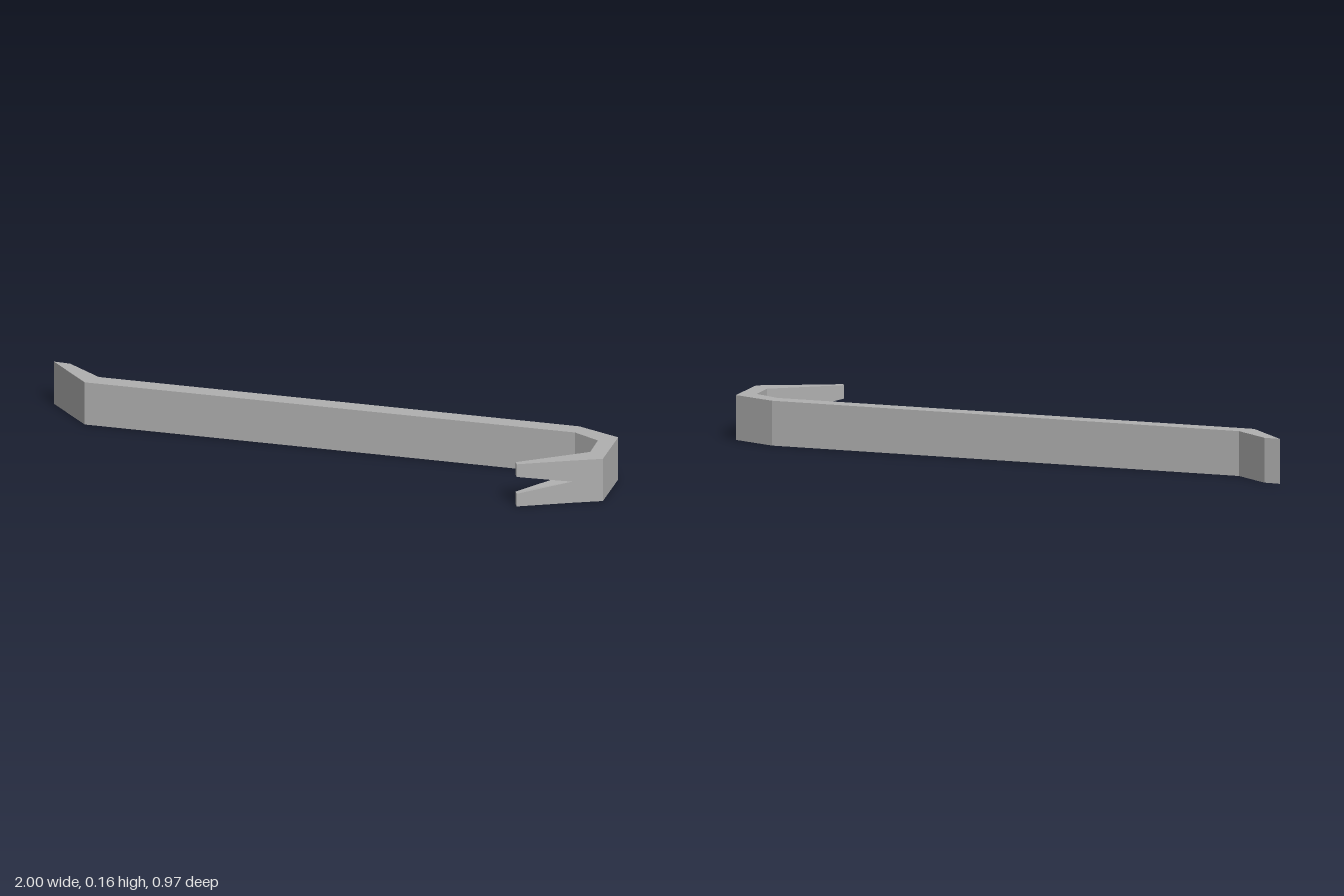
import * as THREE from 'three';

const H = 0.16;

// Each station: outer (x, z), inner (x, z), low y, high y at the outer and inner side
function loft(stations, capStart, capEnd) {
  const rings = stations.map(([ox, oz, ix, iz, low, high]) => [
    [ox, low, oz], [ox, high, oz], [ix, high, iz], [ix, low, iz],
  ]);
  const pos = [];
  const quad = (a, b, c, d) => pos.push(...a, ...b, ...c, ...a, ...c, ...d);
  for (let i = 0; i < rings.length - 1; i++) {
    for (let k = 0; k < 4; k++) {
      const n = (k + 1) % 4;
      quad(rings[i][k], rings[i][n], rings[i + 1][n], rings[i + 1][k]);
    }
  }
  if (capStart) quad(...[...rings[0]].reverse());
  if (capEnd) quad(...rings[rings.length - 1]);
  const geometry = new THREE.BufferGeometry();
  geometry.setAttribute('position', new THREE.Float32BufferAttribute(pos, 3));
  geometry.computeVertexNormals();
  return geometry;
}

export function createModel() {
  const group = new THREE.Group();
  group.name = 'pryBar';
  const steel = new THREE.MeshStandardMaterial({ color: 0xb0b0b0 });
  steel.name = 'grey steel';

  const add = (name, geometry) => {
    const mesh = new THREE.Mesh(geometry, steel);
    mesh.name = name;
    group.add(mesh);
  };

  // Chisel end, straight shaft and hook, up to the root of the claw notch
  const root = [0.933, -0.22, 0.871, -0.215];
  const tip = [0.82, -0.058, 0.803, -0.07];
  add('bar', loft([
    [-0.945, 0.395, -1, 0.422, 0, H],
    [-0.787, 0.411, -0.787, 0.481, 0, H],
    [0.727, -0.462, 0.757, -0.411, 0, H],
    [0.895, -0.487, 0.865, -0.416, 0, H],
    [0.998, -0.308, 0.921, -0.322, 0, H],
    [...root, 0, H],
  ], true, false));

  // Two claw prongs either side of the V notch
  add('lowerProng', loft([[...root, 0, H / 2], [...tip, 0, 0.048]], false, true));
  add('upperProng', loft([[...root, H / 2, H], [...tip, 0.112, H]], false, true));

  return group;
}
